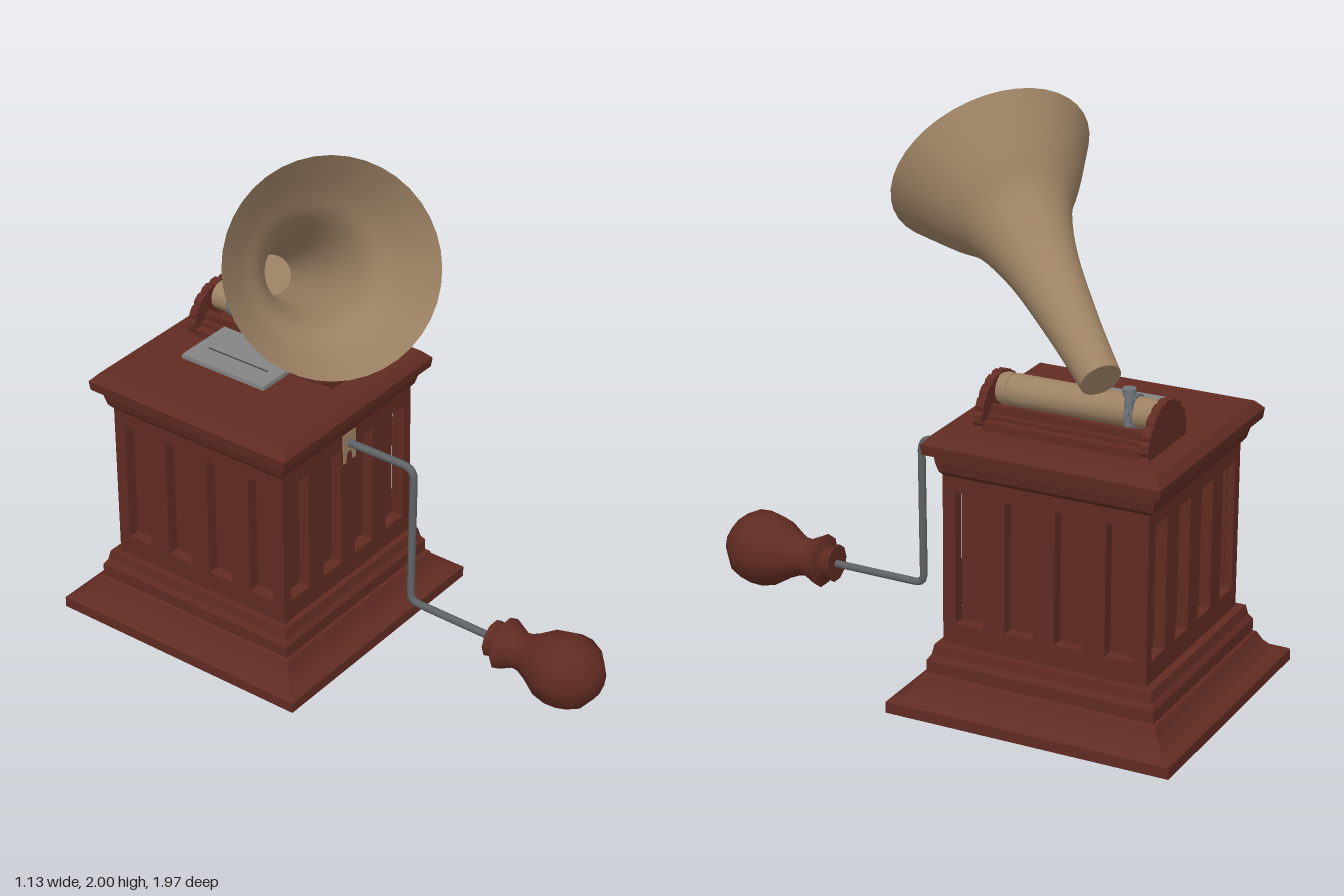
import * as THREE from 'three';
import { toCreasedNormals } from 'three/addons/utils/BufferGeometryUtils.js';

const mat = (name, color, side = THREE.FrontSide) => {
  const m = new THREE.MeshStandardMaterial({ color, side });
  m.name = name;
  return m;
};
const v2 = (list) => list.map(([x, y]) => new THREE.Vector2(x, y));

export function createModel() {
  const wood = mat('redWood', 0x602b22);
  const brass = mat('paleBrass', 0x9d8264, THREE.DoubleSide);
  const steel = mat('darkSteel', 0x5f6365);
  const clampSteel = mat('clampSteel', 0x70767c);
  const grey = mat('greyMetal', 0x858585);
  const slotGrey = mat('slotGrey', 0x4a4a4a);

  const model = new THREE.Group();
  model.name = 'hornPlayer';
  const add = (name, geo, material, x = 0, y = 0, z = 0, parent = model) => {
    const mesh = new THREE.Mesh(geo, material);
    mesh.name = name;
    mesh.position.set(x, y, z);
    parent.add(mesh);
    return mesh;
  };
  const box = (name, w, h, d, material, x, y, z, parent) =>
    add(name, new THREE.BoxGeometry(w, h, d), material, x, y, z, parent);

  // Cabinet: square moulding profile of [half width, height], hollowed underneath
  const cabinet = new THREE.Group();
  cabinet.name = 'cabinet';
  cabinet.position.set(0.055, 0, -0.46);
  model.add(cabinet);
  const profile = [
    [0, 0.05], [0.34, 0.05], [0.39, 0.02], [0.43, 0.02], [0.46, 0.005], [0.5, 0], [0.51, 0],
    [0.51, 0.04], [0.5, 0.047], [0.463, 0.06], [0.437, 0.09], [0.42, 0.125], [0.41, 0.13],
    [0.41, 0.175], [0.397, 0.195], [0.39, 0.23], [0.322, 0.235],
    [0.322, 0.835], [0.366, 0.835], [0.378, 0.85], [0.386, 0.88], [0.39, 0.908], [0.418, 0.915],
    [0.422, 0.95], [0.395, 0.98], [0, 0.98],
  ];
  const moulding = new THREE.LatheGeometry(
    v2(profile.map(([h, y]) => [h * Math.SQRT2, y])), 4, Math.PI / 4).toNonIndexed();
  moulding.scale(1, 1, 1.02);
  moulding.computeVertexNormals();
  add('mouldedCase', moulding, wood, 0, 0, 0, cabinet);

  // Four cabinet walls, each with four recessed panels
  const wallGeometry = (width) => {
    const s = new THREE.Shape(v2([[-width / 2, 0.225], [width / 2, 0.225], [width / 2, 0.84], [-width / 2, 0.84]]));
    for (let i = 0; i < 4; i++) {
      const x = (i - 1.5) * 0.183;
      s.holes.push(new THREE.Path(v2([[x - 0.052, 0.31], [x - 0.052, 0.78], [x + 0.052, 0.78], [x + 0.052, 0.31]])));
    }
    return new THREE.ExtrudeGeometry(s, { depth: 0.045, bevelEnabled: false });
  };
  for (let i = 0; i < 4; i++) {
    const side = i % 2 === 1;
    const out = side ? 0.321 : 0.328;
    const a = (i * Math.PI) / 2;
    const wall = add('panelledWall', wallGeometry(side ? 0.69 : 0.732), wood,
      Math.sin(a) * out, 0, Math.cos(a) * out + 0.004, cabinet);
    wall.rotation.y = a;
  }

  // Cradle: bed, rails and two scalloped end plates
  const cradle = new THREE.Group();
  cradle.name = 'cradle';
  cradle.position.set(0.193, 0.978, -0.47);
  model.add(cradle);
  box('bed', 0.28, 0.03, 0.57, wood, 0, 0.015, 0, cradle);
  for (const s of [-1, 1]) {
    box('rail', 0.045, 0.045, 0.57, wood, s * 0.085, 0.022, 0, cradle);
    box('innerRail', 0.025, 0.072, 0.57, wood, s * 0.072, 0.036, 0, cradle);
  }
  const arch = [[-0.15, 0], [0.15, 0]];
  const teeth = 9;
  for (let i = 0; i < teeth; i++) {
    for (const [f, r] of [[0, 0.142], [0.25, 0.15], [0.75, 0.15], [1, 0.142]]) {
      const a = ((i + f) / teeth) * Math.PI;
      arch.push([Math.cos(a) * r, 0.015 + Math.sin(a) * r]);
    }
  }
  const archGeo = new THREE.ExtrudeGeometry(new THREE.Shape(v2(arch)), { depth: 0.03, bevelEnabled: false });
  for (const z of [0.285, -0.315]) add('endPlate', archGeo, wood, 0, 0, z, cradle);

  // Recording cylinder with raised collars
  const drum = new THREE.LatheGeometry(v2([
    [0, -0.29], [0.052, -0.29], [0.052, -0.2], [0.056, -0.198],
    [0.056, 0.23], [0.052, 0.232], [0.052, 0.245], [0.056, 0.247], [0.056, 0.27], [0.048, 0.29], [0, 0.29],
  ]), 20);
  drum.rotateX(Math.PI / 2);
  add('recordCylinder', toCreasedNormals(drum, 0.6), brass, 0.003, 0.108, 0, cradle);

  // Clamp ring, its side lugs and thumb screw
  const band = new THREE.CylinderGeometry(0.06, 0.06, 0.026, 20);
  band.rotateX(Math.PI / 2);
  add('clampBand', band, clampSteel, 0.196, 1.086, -0.668);
  box('clampLugs', 0.14, 0.018, 0.018, clampSteel, 0.197, 1.1, -0.668);
  add('screwPost', new THREE.CylinderGeometry(0.016, 0.016, 0.12, 10), clampSteel, 0.24, 1.11, -0.668);
  add('screwHead', new THREE.CylinderGeometry(0.023, 0.023, 0.026, 10), clampSteel, 0.24, 1.168, -0.668);

  // Slotted metal plate beside the cradle, overlapping the bed
  box('lidPlate', 0.242, 0.016, 0.36, grey, -0.004, 1.016, -0.488);
  box('plateSlot', 0.006, 0.003, 0.26, slotGrey, -0.038, 1.0245, -0.488);

  // Horn: flaring shell with a closed narrow end
  const horn = new THREE.Group();
  horn.name = 'horn';
  const start = new THREE.Vector3(0.258, 1.197, -0.574);
  const axis = new THREE.Vector3(-0.258, 1.69, 0.095).sub(start);
  const length = axis.length();
  horn.position.copy(start);
  horn.quaternion.setFromUnitVectors(new THREE.Vector3(0, 1, 0), axis.normalize());
  model.add(horn);
  const flare = new THREE.SplineCurve(v2([
    [0.071, 0], [0.08, 0.13], [0.093, 0.27], [0.123, 0.5], [0.179, 0.7], [0.263, 0.83], [0.362, 1],
  ].map(([r, t]) => [r, t * length])));
  add('hornShell', new THREE.LatheGeometry(flare.getPoints(24), 40), brass, 0, 0, 0, horn);
  const cap = new THREE.CircleGeometry(0.071, 40);
  cap.rotateX(Math.PI / 2);
  add('hornCap', cap, brass, 0, 0, 0, horn);

  // Crank: keyhole plate, bent rod and turned handle
  const plate = new THREE.Shape(v2([
    [-0.035, -0.06], [-0.02, -0.06], [-0.013, -0.02], [0.013, -0.02], [0.02, -0.06], [0.035, -0.06],
    [0.035, 0.055], [-0.035, 0.055],
  ]));
  add('crankPlate', new THREE.ExtrudeGeometry(plate, { depth: 0.006, bevelEnabled: false }), brass, 0.06, 0.778, -0.085);
  const p = (x, y, z) => new THREE.Vector3(x, y, z);
  const rod = new THREE.CurvePath();
  rod.add(new THREE.LineCurve3(p(0.06, 0.792, -0.1), p(0.06, 0.792, 0.15)));
  rod.add(new THREE.QuadraticBezierCurve3(p(0.06, 0.792, 0.15), p(0.06, 0.792, 0.195), p(0.059, 0.747, 0.195)));
  rod.add(new THREE.LineCurve3(p(0.059, 0.747, 0.195), p(0.05, 0.28, 0.195)));
  rod.add(new THREE.QuadraticBezierCurve3(p(0.05, 0.28, 0.195), p(0.05, 0.245, 0.195), p(0.05, 0.245, 0.23)));
  rod.add(new THREE.LineCurve3(p(0.05, 0.245, 0.23), p(0.045, 0.245, 0.58)));
  add('crankRod', new THREE.TubeGeometry(rod, 90, 0.014, 8), steel);
  const handle = new THREE.LatheGeometry(v2([
    [0, 0.55], [0.068, 0.55], [0.064, 0.565], [0.046, 0.578], [0.052, 0.588], [0.096, 0.6], [0.084, 0.625],
    [0.067, 0.66], [0.07, 0.69], [0.086, 0.725], [0.124, 0.785], [0.136, 0.84], [0.134, 0.885],
    [0.11, 0.935], [0.056, 0.978], [0, 0.99],
  ]), 10, Math.PI / 10);
  handle.rotateX(Math.PI / 2);
  add('crankHandle', toCreasedNormals(handle, 0.8), wood, 0.043, 0.245, 0);

  return model;
}
